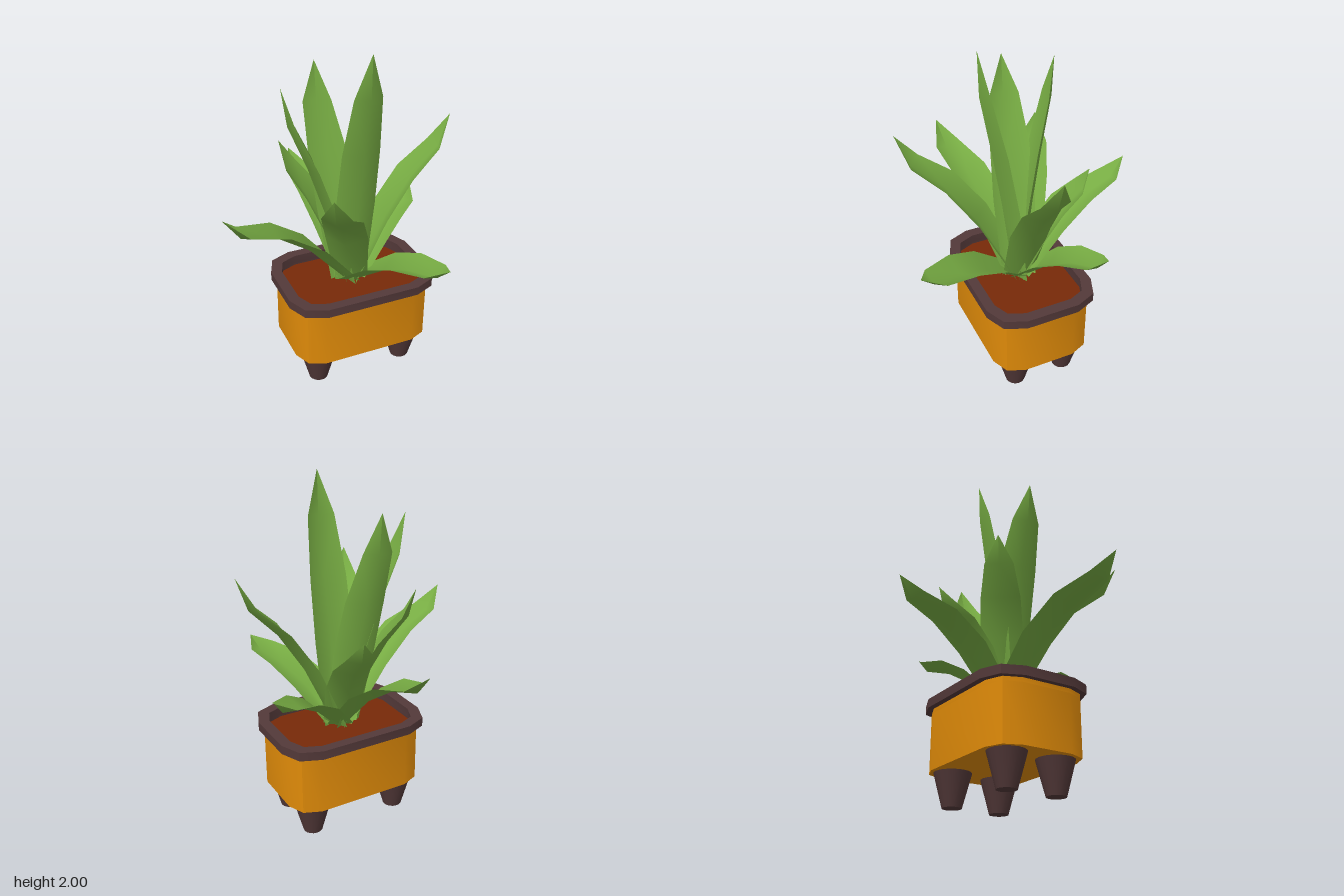
import * as THREE from 'three';
import { toCreasedNormals } from 'three/addons/utils/BufferGeometryUtils.js';

const mat = (name, color, side = THREE.FrontSide) => {
  const m = new THREE.MeshStandardMaterial({ color, side });
  m.name = name;
  return m;
};

// Centre of the planter in plan
const CX = 0.11, CZ = 0.03;

// Rectangle with two-facet rounded corners
function roundedRect(Type, hx, hz, r) {
  const pts = [];
  const corners = [[1, 1], [-1, 1], [-1, -1], [1, -1]];
  corners.forEach(([sx, sz], q) => {
    for (let i = 0; i <= 2; i++) {
      const a = (q + i / 2) * Math.PI / 2;
      pts.push(new THREE.Vector2(sx * (hx - r) + r * Math.cos(a), sz * (hz - r) + r * Math.sin(a)));
    }
  });
  return new Type(pts);
}

// Extrude a plan shape upwards between two heights, optionally with a hole
function slab(outer, y0, y1, hole) {
  const shape = roundedRect(THREE.Shape, ...outer);
  if (hole) shape.holes.push(roundedRect(THREE.Path, ...hole));
  const geo = new THREE.ExtrudeGeometry(shape, { depth: y1 - y0, bevelEnabled: false });
  geo.rotateX(-Math.PI / 2).translate(CX, y0, CZ);
  return toCreasedNormals(geo, 0.6);
}

// Leaf sections: fraction of reach, extra height for arching leaves, outward sag, half width
const SECTIONS = [
  [0, 0, 0, 0.1],
  [0.32, 0.12, 0.005, 0.122],
  [0.57, 0.1, 0.015, 0.113],
  [0.84, -0.05, 0.025, 0.082],
  [1, 0, 0, 0],
];

// Channelled leaf running from the crown to its tip
function leafGeometry(tip, facing, scale) {
  const out = new THREE.Vector3(tip.x - CX, 0, tip.z - CZ).normalize();
  const base = new THREE.Vector3(CX, 0.55, CZ).addScaledVector(out, 0.035);
  const reach = tip.clone().sub(base);
  const arch = Math.min(1, Math.hypot(reach.x, reach.z) / reach.y + 0.1);
  const spine = SECTIONS.map(([s, lift, sag]) => new THREE.Vector3(
    base.x + reach.x * s,
    base.y + reach.y * (s + lift * arch),
    base.z + reach.z * s,
  ).addScaledVector(out, sag));
  const dir = facing ? new THREE.Vector3(facing[0], 0, facing[1]).normalize() : out;
  const across = new THREE.Vector3(dir.z, 0, -dir.x);
  const pos = [], index = [];
  SECTIONS.forEach(([, , , halfWidth], i) => {
    const w = halfWidth * scale;
    const along = spine[Math.min(i + 1, spine.length - 1)].clone().sub(spine[Math.max(i - 1, 0)]);
    const up = along.cross(across).normalize();
    // left edge, midrib, right edge
    for (const side of [-1, 0, 1]) {
      const p = spine[i].clone().addScaledVector(across, side * w);
      p.addScaledVector(up, Math.abs(side) * w * 0.42);
      pos.push(...p.toArray());
    }
    if (i === 0) return;
    for (const a of [3 * i - 3, 3 * i - 2]) index.push(a, a + 3, a + 1, a + 1, a + 3, a + 4);
  });
  const geo = new THREE.BufferGeometry();
  geo.setAttribute('position', new THREE.Float32BufferAttribute(pos, 3));
  geo.setIndex(index);
  geo.computeVertexNormals();
  return geo;
}

export function createModel() {
  const model = new THREE.Group();
  model.name = 'pottedPlant';
  const ochre = mat('ochre glaze', 0xe08b09);
  const darkWood = mat('dark wood', 0x533939);
  const earth = mat('soil brown', 0x782a08);
  const green = mat('leaf green', 0x77ac43, THREE.DoubleSide);

  const add = (name, geo, material, parent = model) => {
    const mesh = new THREE.Mesh(geo, material);
    mesh.name = name;
    parent.add(mesh);
    return mesh;
  };

  // Pot body and the lip that carries the rim
  const bodyPlan = [0.417, 0.291, 0.14];
  add('potBody', slab(bodyPlan, 0.195, 0.525), ochre);
  add('potLip', slab(bodyPlan, 0.525, 0.55, [0.391, 0.271, 0.13]), ochre);

  // Rim ring and its inner lining
  const opening = [0.387, 0.268, 0.13];
  add('rim', slab([0.45, 0.326, 0.17], 0.55, 0.602, opening), darkWood);
  add('rimLining', slab([0.391, 0.271, 0.13], 0.525, 0.55, opening), darkWood);

  // Soil
  add('soil', slab(opening, 0.526, 0.54), earth);

  // Four tapered legs
  const legGeo = new THREE.CylinderGeometry(0.109, 0.056, 0.195, 16);
  for (const x of [-0.165, 0.382]) {
    for (const z of [-0.127, 0.18]) {
      add('leg', legGeo, darkWood).position.set(x, 0.0975, z);
    }
  }

  // Leaves: tip position, width scale and an optional facing
  const leaves = new THREE.Group();
  leaves.name = 'leaves';
  model.add(leaves);
  const leafList = [
    [0, 1.11, -0.705, 0.95],
    [0.64, 0.93, -0.245, 1],
    [0.693, 1.525, 0.07, 0.98],
    [0.37, 0.93, 0.705, 1.12],
    [-0.25, 1.43, 0.61, 1],
    [-0.7, 1.22, 0.215, 0.98],
    [-0.275, 1.78, -0.04, 1],
    [-0.01, 1.84, -0.228, 0.98, [0.25, -1]],
    [0.11, 2, 0.257, 1],
    [0.18, 1.21, -0.37, 1],
    [-0.23, 1.4, -0.23, 1],
  ];
  for (const [x, y, z, scale, facing] of leafList) {
    add('leaf', leafGeometry(new THREE.Vector3(x, y, z), facing, scale), green, leaves);
  }
  return model;
}
